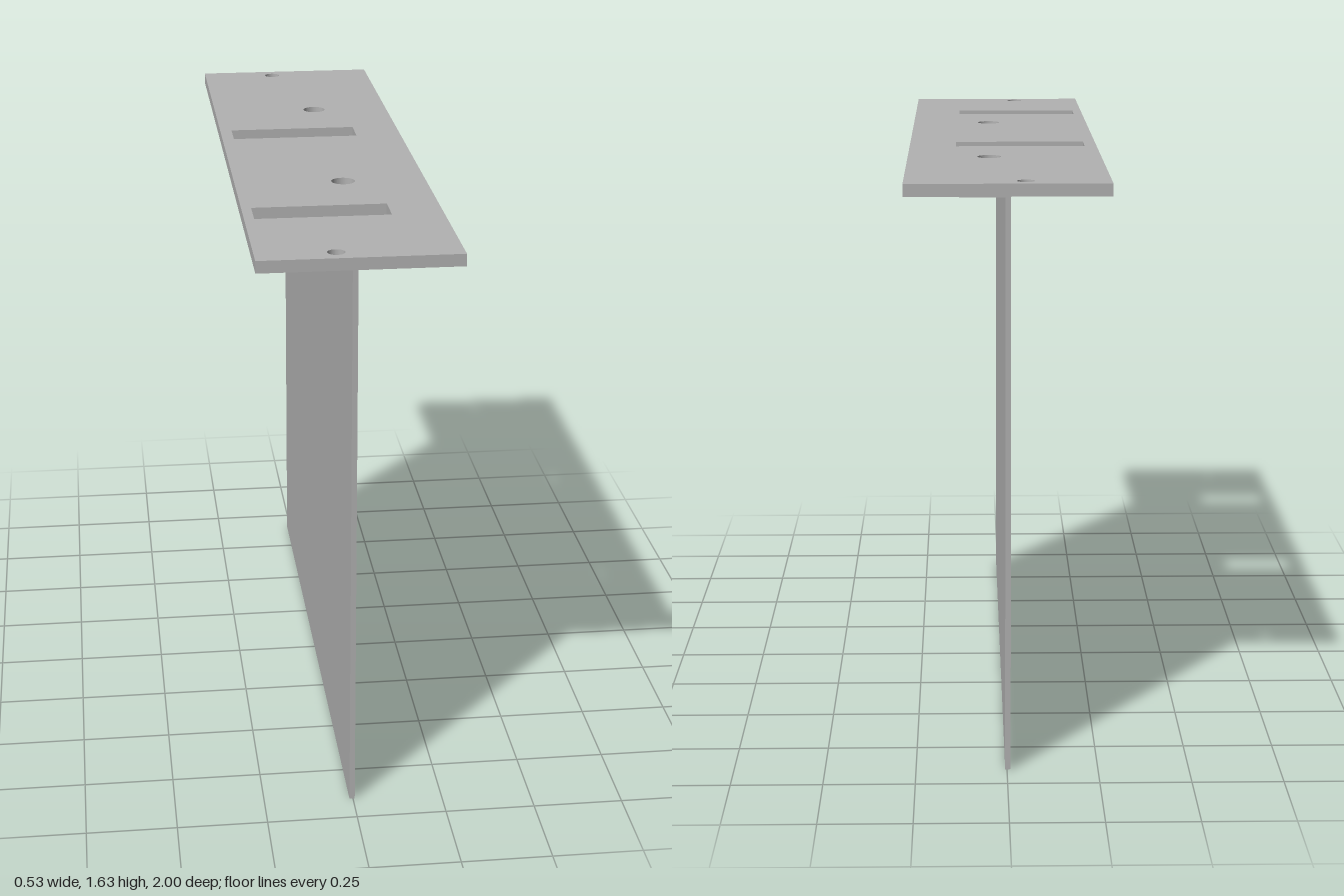
import * as THREE from 'three';

const PLATE_BOTTOM = 1.6;
const PLATE_THICKNESS = 0.033;

// Closed outline from [x, y] points
function outline(points, Type = THREE.Shape) {
  return new Type(points.map(([x, y]) => new THREE.Vector2(x, y)));
}

function rectangle(x0, x1, y0, y1, Type) {
  return outline([[x0, y0], [x1, y0], [x1, y1], [x0, y1]], Type);
}

export function createModel() {
  const model = new THREE.Group();
  model.name = 'slottedPlateWithSheet';
  const greyMetal = new THREE.MeshStandardMaterial({ color: 0xb2b2b2 });
  greyMetal.name = 'greyMetal';

  // Top plate, drawn flat with shape y = -z
  const plateShape = rectangle(-0.267, 0.267, -1, 1);

  // Long slots: x0, x1, z0, z1
  for (const [x0, x1, z0, z1] of [
    [-0.233, 0.135, -0.26, -0.16],
    [-0.24, 0.127, 0.546, 0.647],
  ]) {
    plateShape.holes.push(rectangle(x0, x1, -z1, -z0, THREE.Path));
  }

  // Round holes: x, z, radius
  for (const [x, z, radius] of [
    [-0.047, -0.95, 0.023],
    [-0.058, 0.95, 0.023],
    [0.042, -0.483, 0.033],
    [0.036, 0.318, 0.033],
  ]) {
    plateShape.holes.push(new THREE.Path().absarc(x, -z, radius, 0, Math.PI * 2, true));
  }

  const plateGeometry = new THREE.ExtrudeGeometry(plateShape, {
    depth: PLATE_THICKNESS, bevelEnabled: false, curveSegments: 32,
  });
  plateGeometry.rotateX(-Math.PI / 2);
  plateGeometry.translate(0, PLATE_BOTTOM, 0);
  const plate = new THREE.Mesh(plateGeometry, greyMetal);
  plate.name = 'topPlate';
  model.add(plate);

  // Hanging sheet folded into a flange under the plate
  const foldedProfile = outline([
    [-0.01, 0], [0.005, 0], [0.005, 1.584], [0.125, 1.584],
    [0.125, PLATE_BOTTOM], [-0.01, PLATE_BOTTOM],
  ]);
  const sheetGeometry = new THREE.ExtrudeGeometry(foldedProfile, {
    depth: 1.81, bevelEnabled: false,
  });
  sheetGeometry.translate(0, 0, -0.905);
  const sheet = new THREE.Mesh(sheetGeometry, greyMetal);
  sheet.name = 'foldedSheet';
  model.add(sheet);

  return model;
}
